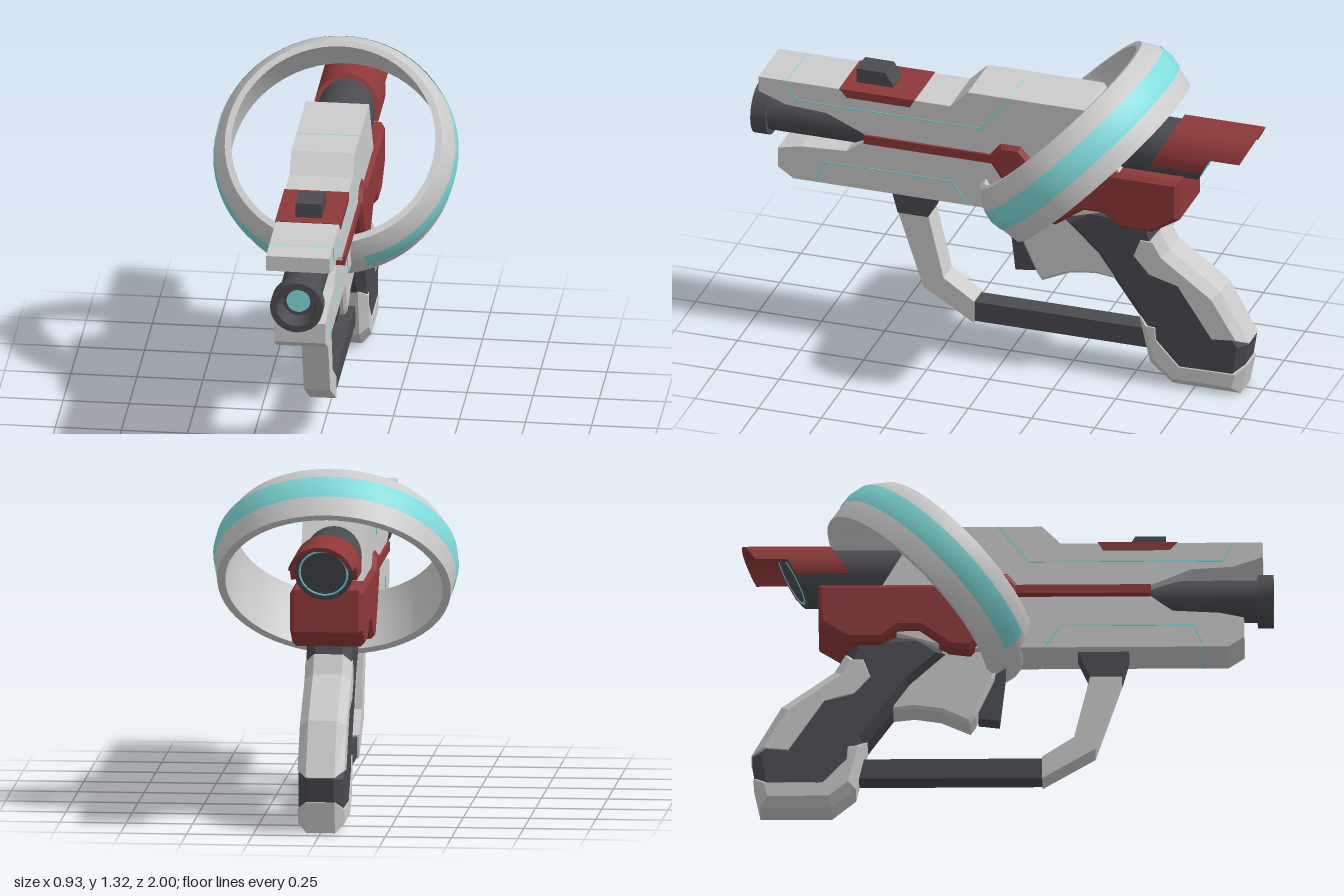
import * as THREE from 'three';
import { toCreasedNormals } from 'three/addons/utils/BufferGeometryUtils.js';

const mat = (color) => new THREE.MeshStandardMaterial({ color });
const GREY = mat(0xcccccc), DARK = mat(0x4a4b50), RED = mat(0x8e3838), CYAN = mat(0x80dcdc);
CYAN.side = THREE.DoubleSide;

export function createModel() {
  const model = new THREE.Group();

  function add(name, geometry, material) {
    const mesh = new THREE.Mesh(geometry, material);
    mesh.name = name;
    model.add(mesh);
    return mesh;
  }

  // Side outline of [z, y] points, extruded across x to a half width, optionally chamfered
  function slab(name, material, half, points, bevel = 0) {
    const shape = new THREE.Shape(points.map(([z, y]) => new THREE.Vector2(z, y)));
    const depth = 2 * (half - bevel);
    const g = new THREE.ExtrudeGeometry(shape, {
      depth, bevelEnabled: bevel > 0, bevelThickness: bevel, bevelSize: bevel, bevelOffset: -bevel, bevelSegments: 1,
    });
    g.translate(0, 0, -depth / 2).rotateY(-Math.PI / 2);
    return add(name, g, material);
  }

  // Thin glowing line that follows a [z, y] path on both flanks
  function inlay(name, half, path) {
    for (let i = 0; i + 1 < path.length; i++) {
      const [z0, y0] = path[i], [z1, y1] = path[i + 1];
      const g = new THREE.BoxGeometry(2 * half, 0.005, Math.hypot(z1 - z0, y1 - y0));
      g.rotateX(-Math.atan2(y1 - y0, z1 - z0)).translate(0, (y0 + y1) / 2, (z0 + z1) / 2);
      add(name, g, CYAN);
    }
  }

  // Upper and lower body halves
  slab('upperBody', GREY, 0.12, [
    [0.96, 1.06], [0.2, 1.06], [0.13, 1.13], [-0.33, 1.13], [-0.47, 0.89], [-0.47, 0.87],
    [0.54, 0.87], [0.54, 0.885], [0.69, 0.95], [0.85, 0.96], [0.96, 1.0]]);
  slab('lowerBody', GREY, 0.097, [
    [0.54, 0.87], [-0.47, 0.87], [-0.47, 0.72], [-0.2, 0.64], [0.83, 0.64],
    [0.89, 0.68], [0.89, 0.76], [0.8, 0.78], [0.62, 0.79], [0.54, 0.85]]);
  inlay('upperInlay', 0.122, [[0.85, 1.06], [0.81, 0.985], [0.08, 0.985], [-0.035, 1.13]]);
  inlay('lowerInlay', 0.099, [[0.74, 0.64], [0.7, 0.73], [0.2, 0.73], [0.14, 0.64]]);

  // Red stripe and rear housing
  slab('sideStripe', RED, 0.13, [[0.54, 0.885], [0, 0.885], [0, 0.85], [0.54, 0.85]]);
  slab('rearHousing', RED, 0.137, [
    [0.04, 0.885], [0, 0.935], [-0.08, 0.935], [-0.12, 0.89], [-0.71, 0.89], [-0.71, 0.73],
    [-0.6, 0.66], [-0.47, 0.66], [-0.41, 0.71], [-0.33, 0.71], [-0.22, 0.63], [-0.14, 0.62],
    [-0.05, 0.72], [0.04, 0.85]], 0.016);

  // Sight on its red saddle
  slab('sightBase', RED, 0.123, [[0.64, 1.063], [0.34, 1.063], [0.36, 1.03], [0.61, 1.03]]);
  slab('sight', DARK, 0.05, [[0.595, 1.05], [0.595, 1.12], [0.48, 1.12], [0.45, 1.07], [0.45, 1.05]]);

  // Barrel with a hollow muzzle and a glowing lens
  const barrelProfile = [[0, 0.5], [0.08, 0.5], [0.08, 0.94], [0.1, 0.94], [0.1, 1], [0.075, 1], [0.06, 0.93], [0, 0.93]]
    .map(([r, z]) => new THREE.Vector2(r, z));
  const barrel = toCreasedNormals(new THREE.LatheGeometry(barrelProfile, 32).rotateX(Math.PI / 2), 0.6);
  add('barrel', barrel.translate(0, 0.87, 0), DARK);
  add('muzzleLens', new THREE.CircleGeometry(0.045, 32).translate(0, 0.87, 0.934), CYAN);

  // Rear tube parts: built round the z axis, then sheared for slanted ends
  function slanted(name, geometry, material) {
    const p = geometry.attributes.position;
    for (let i = 0; i < p.count; i++) p.setZ(i, p.getZ(i) - 0.55 * p.getY(i));
    geometry.translate(0, 0.97, 0);
    const g = toCreasedNormals(geometry, 0.6);
    add(name, g, material);
  }
  slanted('rearTube', new THREE.CylinderGeometry(0.11, 0.11, 0.61, 32)
    .rotateX(Math.PI / 2).translate(0, 0, -0.507), DARK);
  slanted('rearTubeGlow', new THREE.TorusGeometry(0.09, 0.004, 6, 32).translate(0, 0, -0.812), CYAN);

  function hood(name, startAngle, zFront, zRear) {
    const s = new THREE.Shape();
    s.absarc(0, 0, 0.126, startAngle, Math.PI - startAngle, false);
    s.absarc(0, 0, 0.109, Math.PI - startAngle, startAngle, true);
    const g = new THREE.ExtrudeGeometry(s, { depth: zFront - zRear, bevelEnabled: false, curveSegments: 24 });
    slanted(name, g.translate(0, 0, zRear), RED);
  }
  hood('hood', -0.24, -0.61, -0.81);
  hood('hoodOverhang', 0.24, -0.81, -0.93);

  // Tilted ring with a glowing band, open at the lower front
  function ringPart(name, points, material, start = 0, length = Math.PI * 2) {
    const g = new THREE.LatheGeometry(points.map(([r, t]) => new THREE.Vector2(r, t)), 64, start, length);
    const mesh = add(name, toCreasedNormals(g, 0.5), material);
    mesh.rotation.x = Math.PI / 4;
    mesh.position.set(0, 0.943, -0.282);
  }
  ringPart('ring', [[0.41, -0.12], [0.44, -0.12], [0.46, 0], [0.45, 0.06], [0.41, 0.12],
    [0.385, 0.12], [0.405, 0.03], [0.41, -0.12]], GREY);
  ringPart('ringBand', [[0.456, -0.043], [0.463, 0], [0.455, 0.05]], CYAN, 0.33, Math.PI * 2 - 0.66);

  // Hand guard in front of the grip
  slab('strutMount', DARK, 0.055, [[0.46, 0.65], [0.26, 0.65], [0.31, 0.54], [0.43, 0.54]]);
  slab('strut', GREY, 0.05, [[0.43, 0.54], [0.31, 0.54], [0.25, 0.29], [0.13, 0.21], [0.13, 0.12], [0.33, 0.24]]);
  slab('lowerBar', DARK, 0.042, [[0.13, 0.205], [-0.58, 0.205], [-0.58, 0.125], [0.13, 0.125]]);

  // Trigger and the web behind it
  slab('trigger', DARK, 0.035, [[0, 0.65], [-0.01, 0.54], [-0.03, 0.365], [-0.11, 0.375], [-0.1, 0.65]]);
  slab('triggerWeb', GREY, 0.06, [
    [-0.03, 0.65], [-0.05, 0.53], [-0.12, 0.375], [-0.14, 0.345], [-0.25, 0.395],
    [-0.35, 0.41], [-0.44, 0.4], [-0.4, 0.65]], 0.012);

  // Chamfered grip with grey back strap and foot
  slab('grip', DARK, 0.085, [
    [-0.22, 0.63], [-0.33, 0.71], [-0.58, 0.7], [-0.62, 0.58], [-0.84, 0.41], [-0.96, 0.21],
    [-0.93, 0.02], [-0.67, 0.02], [-0.57, 0.13], [-0.53, 0.26], [-0.36, 0.5]], 0.034);
  slab('gripBackStrap', GREY, 0.088, [
    [-0.48, 0.52], [-0.52, 0.63], [-0.61, 0.63], [-0.65, 0.56], [-0.85, 0.415], [-0.963, 0.215],
    [-0.81, 0.19], [-0.67, 0.4], [-0.56, 0.43]], 0.034);
  slab('gripFoot', GREY, 0.088, [
    [-0.525, 0.27], [-0.63, 0.27], [-0.635, 0.2], [-0.71, 0.12], [-0.955, 0.12],
    [-0.93, 0], [-0.66, 0], [-0.57, 0.075]], 0.034);

  return model;
}
